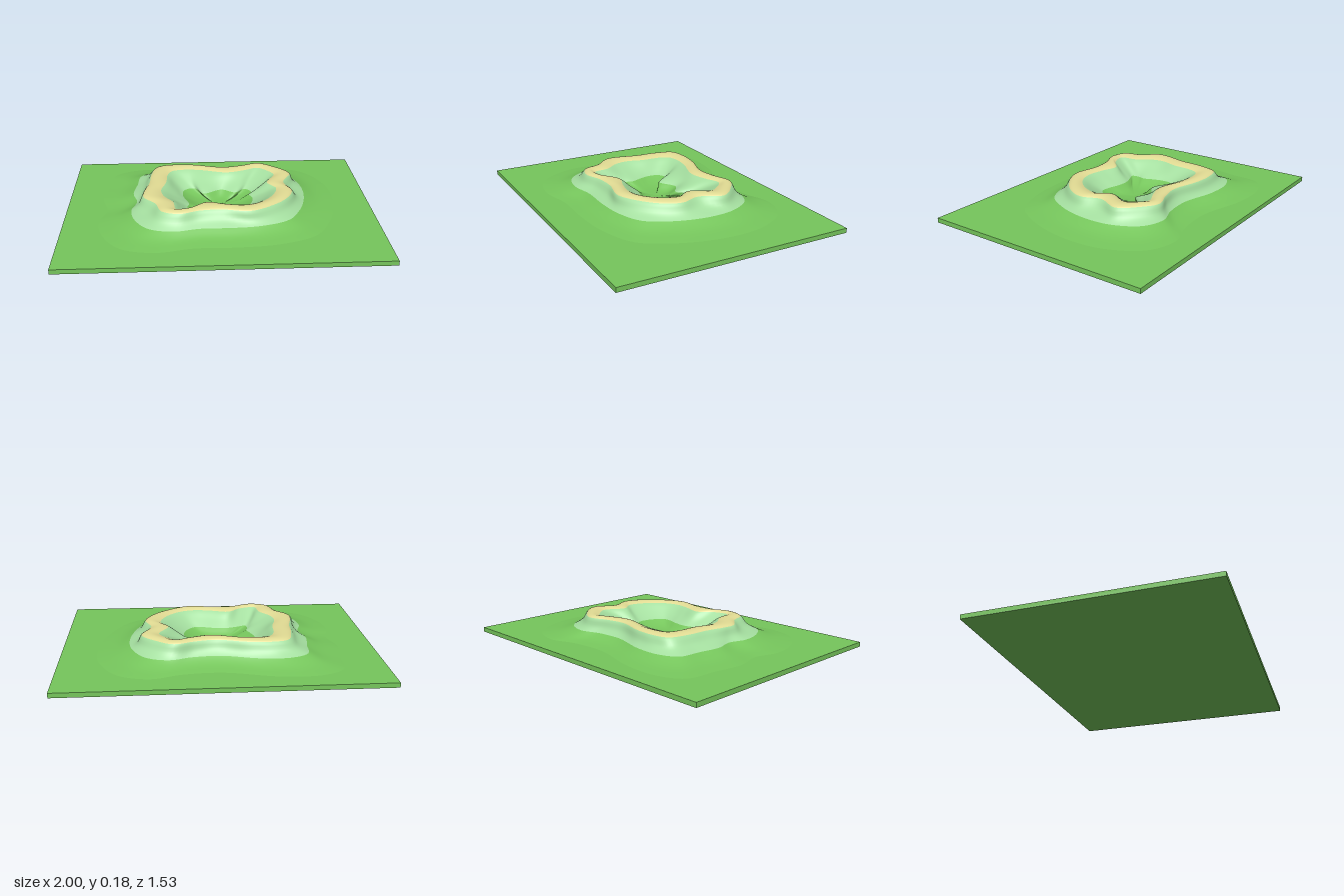
import * as THREE from 'three';

// Contours of the crater as x, z pairs in hundredths, 22 matching stations each
const BAND = [57, -10, 55, 6, 50, 20, 42, 32, 25, 39, 6, 41, -13, 41, -30, 44, -45, 40, -54, 28, -57, 14,
  -54, 2, -57, -11, -55, -26, -53, -40, -42, -46, -24, -46, 0, -40, 18, -41, 32, -45, 46, -40, 55, -25];
const RIM_OUT = [43, -7, 47, 6, 42, 18, 30, 29, 17, 35, 0, 32, -14, 33, -26, 37, -37, 33, -41, 22, -49, 12,
  -49, 4, -46, -10, -45, -24, -41, -37, -30, -40, -16, -39, 3, -34, 16, -36, 29, -40, 39, -34, 49, -22];
const RIM_IN = [32, -7, 37, 2, 33, 14, 24, 23, 14, 26, 2, 24, -9, 21, -18, 28, -28, 30, -30, 20, -36, 11,
  -38, 2, -35, -10, -34, -23, -31, -29, -23, -31, -12, -30, 6, -25, 18, -28, 28, -32, 34, -27, 38, -20];
const FLOOR = [20, -7, 22, -1, 20, 8, 15, 14, 9, 14, 2, 12, -7, 11, -14, 13, -20, 15, -21, 10, -20, 6,
  -22, 0, -24, -7, -23, -15, -18, -18, -15, -17, -10, -9, 2, -15, 11, -10, 17, -15, 20, -14, 22, -9];

const AROUND = 132; // samples round the crater
const SUB = 4; // samples between two key rings

const ring = (table) => {
  const pts = [];
  for (let i = 0; i < table.length; i += 2) pts.push(new THREE.Vector3(table[i] / 100, 0, table[i + 1] / 100));
  const curve = new THREE.CatmullRomCurve3(pts, true);
  return Array.from({ length: AROUND }, (_, i) => curve.getPoint(i / AROUND));
};
const atHeight = (r, y) => r.map((p) => new THREE.Vector3(p.x, y, p.z));
const blend = (a, b, t, y) => atHeight(a.map((p, i) => p.clone().lerp(b[i], t)), y);
const scaled = (r, s, y, cx = 0, cz = 0) =>
  r.map((p) => new THREE.Vector3(cx + (p.x - cx) * s, y, cz + (p.z - cz) * s));

export function createModel() {
  const group = new THREE.Group();
  const green = new THREE.MeshStandardMaterial({ color: 0x76c65c });
  const paleGreen = new THREE.MeshStandardMaterial({ color: 0xa5dfa0 });
  const sand = new THREE.MeshStandardMaterial({ color: 0xe2dc94 });

  const add = (name, geometry, material) => {
    const mesh = new THREE.Mesh(geometry, material);
    mesh.name = name;
    group.add(mesh);
    return mesh;
  };

  // Flat ground slab
  add('groundSlab', new THREE.BoxGeometry(2, 0.03, 1.526), green).position.y = 0.015;

  // Key rings from the outer foot, over the rim, down to the crater centre
  const band = ring(BAND), rimOut = ring(RIM_OUT), rimIn = ring(RIM_IN), floor = ring(FLOOR);
  const keys = [
    scaled(band, 1.36, 0.0302, 0, -0.01),
    scaled(band, 1.15, 0.049),
    atHeight(band, 0.082),
    blend(band, rimOut, 0.6, 0.115),
    atHeight(rimOut, 0.165),
    blend(rimOut, rimIn, 0.45, 0.177),
    atHeight(rimIn, 0.165),
    blend(rimIn, floor, 0.5, 0.122),
    atHeight(floor, 0.082),
    scaled(floor, 0.6, 0.048, 0, -0.01),
    scaled(floor, 0.01, 0.036, 0, -0.01),
  ];

  // Smooth profile through the keys at every station
  const rows = (keys.length - 1) * SUB;
  const profiles = Array.from({ length: AROUND }, (_, i) => new THREE.CatmullRomCurve3(keys.map((k) => k[i])));
  const positions = [];
  for (let r = 0; r <= rows; r++) {
    for (const profile of profiles) {
      const p = profile.getPoint(r / rows);
      positions.push(p.x, Math.max(p.y, 0.0302), p.z);
    }
  }
  const strip = (from, to) => {
    const index = [];
    for (let r = from * SUB; r < to * SUB; r++) {
      for (let i = 0; i < AROUND; i++) {
        const j = (i + 1) % AROUND;
        const a = r * AROUND + i, b = r * AROUND + j;
        const c = a + AROUND, d = b + AROUND;
        index.push(a, c, b, b, c, d);
      }
    }
    return index;
  };

  // One surface gives shared normals, then it is split into coloured bands
  const surface = new THREE.BufferGeometry();
  surface.setAttribute('position', new THREE.Float32BufferAttribute(positions, 3));
  surface.setIndex(strip(0, keys.length - 1));
  surface.computeVertexNormals();
  const addBand = (name, from, to, material) => {
    const g = new THREE.BufferGeometry();
    g.setAttribute('position', surface.attributes.position);
    g.setAttribute('normal', surface.attributes.normal);
    g.setIndex(strip(from, to));
    add(name, g, material);
  };
  addBand('outerFoot', 0, 2, green);
  addBand('outerSlope', 2, 4, paleGreen);
  addBand('craterRim', 4, 6, sand);
  addBand('innerSlope', 6, 8, paleGreen);
  addBand('craterFloor', 8, 10, green);

  return group;
}
